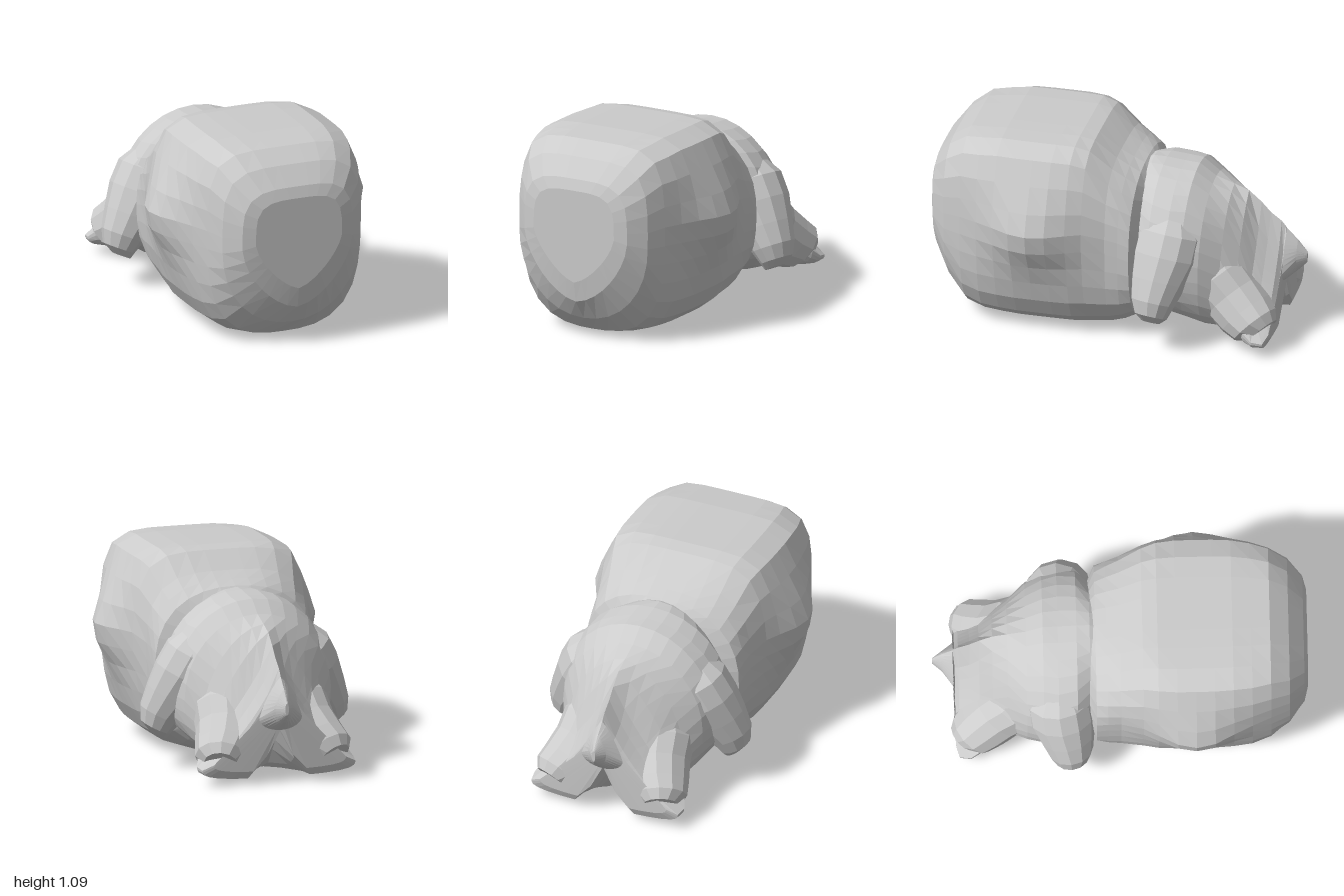
import * as THREE from 'three';

const SIDES = 32;
const material = new THREE.MeshStandardMaterial({ color: 0xcccccc, flatShading: true });

// Skins a list of rings (arrays of Vector3) and closes both ends
function loft(name, rings) {
  const centre = (ring) =>
    ring.reduce((sum, p) => sum.add(p), new THREE.Vector3()).divideScalar(ring.length);
  const n = rings[0].length;
  const points = rings.flat();
  const index = [];
  for (let j = 0; j < rings.length - 1; j++) {
    for (let i = 0; i < n; i++) {
      const k = (i + 1) % n;
      const a = j * n + i, b = j * n + k, c = a + n, d = b + n;
      index.push(a, c, b, b, c, d);
    }
  }
  const last = (rings.length - 1) * n;
  const first = points.length;
  points.push(centre(rings[0]), centre(rings[rings.length - 1]));
  for (let i = 0; i < n; i++) {
    const k = (i + 1) % n;
    index.push(first, i, k, first + 1, last + k, last + i);
  }
  const geometry = new THREE.BufferGeometry().setFromPoints(points);
  geometry.setIndex(index);
  geometry.computeVertexNormals();
  const mesh = new THREE.Mesh(geometry, material);
  mesh.name = name;
  return mesh;
}

// Superellipse section across z; squareness differs above and below the widest height
function section([z, bottom, widest, top, halfWidth, nTop, nBottom]) {
  const ring = [];
  for (let i = 0; i < SIDES; i++) {
    const a = (i / SIDES) * Math.PI * 2;
    const c = Math.cos(a), s = Math.sin(a);
    const n = s >= 0 ? nTop : nBottom;
    const r = (Math.abs(c) ** n + Math.abs(s) ** n) ** (-1 / n);
    const y = widest + s * r * (s >= 0 ? top - widest : widest - bottom);
    ring.push(new THREE.Vector3(c * r * halfWidth, y, z));
  }
  return ring;
}

// Tapering limb through [x, y, z, radius] stations, resting flat on the floor
function limb(name, stations, side) {
  const at = ([x, y, z]) => new THREE.Vector3(x * side, y, z);
  const dir = at(stations[stations.length - 1]).sub(at(stations[0])).normalize();
  const u = new THREE.Vector3(0, 0, 1).cross(dir).normalize();
  const v = u.clone().cross(dir);
  const rings = stations.map((station) => {
    const ring = [];
    for (let i = 0; i < 12; i++) {
      const a = (i / 12) * Math.PI * 2;
      const p = at(station)
        .addScaledVector(u, Math.cos(a) * station[3])
        .addScaledVector(v, Math.sin(a) * station[3]);
      p.y = Math.max(p.y, 0.02);
      ring.push(p);
    }
    return ring;
  });
  return loft(name, rings);
}

export function createModel() {
  const model = new THREE.Group();
  model.name = 'crouchingFigure';

  // Big boxy head with a pointed chin at the front
  const headRings = [
    [1.0, 0.33, 0.6, 0.84, 0.25, 4, 1.4],
    [0.98, 0.22, 0.58, 0.9, 0.32, 4, 1.6],
    [0.9, 0.11, 0.55, 1.0, 0.4, 4.5, 2.1],
    [0.8, 0.025, 0.55, 1.07, 0.44, 5, 2.8],
    [0.7, 0.01, 0.55, 1.08, 0.465, 5.5, 3.2],
    [0.6, 0.005, 0.55, 1.09, 0.475, 6, 3.3],
    [0.5, 0, 0.55, 1.09, 0.48, 6, 3.3],
    [0.4, 0, 0.55, 1.09, 0.48, 6, 3.3],
    [0.3, 0, 0.55, 1.09, 0.48, 6, 3.3],
    [0.2, 0, 0.55, 1.09, 0.475, 5.5, 3.3],
    [0.12, 0, 0.55, 1.075, 0.465, 4.5, 3.1],
    [0, 0.01, 0.53, 0.985, 0.45, 3.5, 3],
    [-0.07, 0.03, 0.52, 0.95, 0.45, 2.9, 2.9],
    [-0.13, 0.055, 0.5, 0.925, 0.45, 2.4, 2.6],
    [-0.17, 0.1, 0.5, 0.89, 0.37, 2, 2.3],
  ].map(section);
  // Swollen cheeks
  for (const p of headRings.flat()) {
    const swell = 0.28 * Math.exp(-(((p.y - 0.64) / 0.21) ** 2) - ((p.z - 0.4) / 0.24) ** 2);
    p.x *= 1 + swell;
  }
  model.add(loft('head', headRings));

  // Body with a ridged back, flaring into the feet and running out to a pointed tail
  const bodyRings = [
    [-0.05, 0.12, 0.5, 0.88, 0.36, 2, 2.3],
    [-0.16, 0.09, 0.5, 0.925, 0.38, 1.9, 2.3],
    [-0.23, 0.12, 0.46, 0.925, 0.45, 2.1, 2.4],
    [-0.33, 0.12, 0.42, 0.915, 0.47, 2.1, 2.5],
    [-0.41, 0.08, 0.42, 0.91, 0.445, 2.05, 2.5],
    [-0.5, 0.045, 0.4, 0.845, 0.41, 2, 2.6],
    [-0.6, 0.035, 0.32, 0.81, 0.345, 1.7, 2.8],
    [-0.68, 0.03, 0.22, 0.78, 0.355, 1.25, 3],
    [-0.75, 0.025, 0.14, 0.72, 0.42, 0.9, 3],
    [-0.8, 0.025, 0.1, 0.665, 0.44, 0.85, 3],
    [-0.86, 0.03, 0.09, 0.62, 0.43, 0.8, 3],
    [-0.88, 0.07, 0.12, 0.595, 0.37, 0.75, 3],
    [-0.89, 0.29, 0.36, 0.58, 0.12, 1.2, 2],
    [-0.95, 0.34, 0.42, 0.52, 0.05, 1.4, 2],
    [-1.0, 0.39, 0.425, 0.455, 0.01, 2, 2],
  ].map(section);
  // Arch between the feet, rising toward the tail
  for (const p of bodyRings.flat()) {
    const rise = THREE.MathUtils.clamp((-p.z - 0.62) / 0.24, 0, 1);
    p.y = Math.max(p.y, rise * (0.29 - 1.9 * Math.abs(p.x)));
  }
  model.add(loft('bodyAndTail', bodyRings));

  // Stubby arms and legs on both sides
  const arm = [
    [0.24, 0.7, -0.33, 0.12],
    [0.28, 0.61, -0.33, 0.18],
    [0.34, 0.5, -0.315, 0.18],
    [0.41, 0.39, -0.29, 0.15],
    [0.47, 0.29, -0.27, 0.12],
    [0.495, 0.22, -0.265, 0.09],
    [0.48, 0.175, -0.26, 0.05],
  ];
  const leg = [
    [0.18, 0.42, -0.52, 0.14],
    [0.2, 0.33, -0.57, 0.18],
    [0.22, 0.25, -0.65, 0.17],
    [0.26, 0.18, -0.73, 0.16],
    [0.3, 0.14, -0.79, 0.14],
    [0.32, 0.12, -0.84, 0.09],
  ];
  for (const [label, side] of [['left', 1], ['right', -1]]) {
    model.add(limb(label + 'Arm', arm, side), limb(label + 'Leg', leg, side));
  }
  return model;
}
